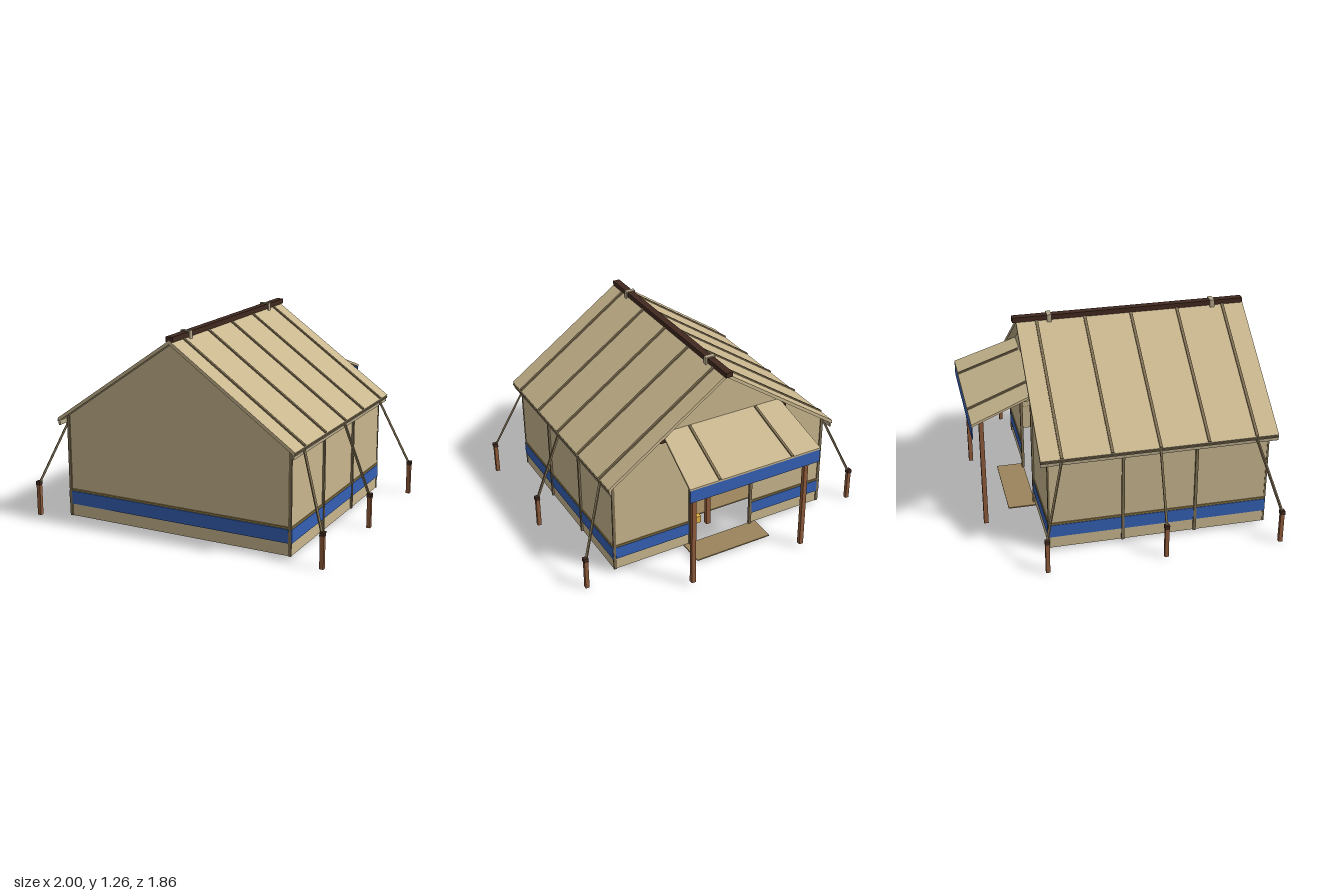
import * as THREE from 'three';

const mat = (name, color, side = THREE.FrontSide) => {
  const m = new THREE.MeshStandardMaterial({ color, side });
  m.name = name;
  return m;
};

export function createModel() {
  const root = new THREE.Group();
  root.name = 'wallTent';

  const canvas = mat('canvas', 0xc8b68e, THREE.DoubleSide);
  const seam = mat('seamTape', 0x7f6f52);
  const piping = mat('piping', 0x8c7744);
  const blue = mat('blueBand', 0x3560b4);
  const dark = mat('darkWood', 0x40291f);
  const wood = mat('wood', 0x8f5b3a);
  const mat_ = mat('groundSheet', 0x9c845c);
  const clip = mat('clip', 0xb5a78a);
  const gold = mat('lanternGold', 0xe0b040);

  const add = (name, geo, material, x = 0, y = 0, z = 0) => {
    const m = new THREE.Mesh(geo, material);
    m.name = name;
    m.position.set(x, y, z);
    root.add(m);
    return m;
  };
  // Box given by its min and max corners
  const box = (name, material, x0, x1, y0, y1, z0, z1) =>
    add(name, new THREE.BoxGeometry(x1 - x0, y1 - y0, z1 - z0), material,
      (x0 + x1) / 2, (y0 + y1) / 2, (z0 + z1) / 2);
  // Straight bar between two points
  const bar = (name, material, a, b, w, h = w) => {
    const p = new THREE.Vector3(...a), q = new THREE.Vector3(...b);
    const m = add(name, new THREE.BoxGeometry(w, h, p.distanceTo(q)), material);
    m.position.copy(p).add(q).multiplyScalar(0.5);
    m.lookAt(q);
    return m;
  };

  const W = 0.77, ZF = 0.87, ZB = -0.52, Y0 = 0.02, EAVE = 0.675, TOP = 1.212;
  const DOOR = 0.225, DOOR_TOP = 0.79;

  // Gable walls, the back one notched for the doorway
  const gable = (door) => {
    const s = new THREE.Shape();
    s.moveTo(-W, Y0);
    if (door) {
      s.lineTo(-DOOR, Y0);
      s.lineTo(-DOOR, DOOR_TOP);
      s.lineTo(DOOR, DOOR_TOP);
      s.lineTo(DOOR, Y0);
    }
    s.lineTo(W, Y0);
    s.lineTo(W, EAVE);
    s.lineTo(0, TOP);
    s.lineTo(-W, EAVE);
    return new THREE.ShapeGeometry(s);
  };
  add('frontWall', gable(false), canvas, 0, 0, ZF);
  add('backWall', gable(true), canvas, 0, 0, ZB).rotation.y = Math.PI;

  // Roof: folded sheet over the ridge
  const r = new THREE.Shape();
  [[0, 1.235], [-0.813, 0.668], [-0.803, 0.65], [0, 1.211], [0.803, 0.65], [0.813, 0.668]]
    .forEach(([x, y], i) => (i ? r.lineTo(x, y) : r.moveTo(x, y)));
  add('roof', new THREE.ExtrudeGeometry(r, { depth: 1.49, bevelEnabled: false }), canvas, 0, 0, -0.57);

  // Ridge beam, its clips and the poles carrying it
  box('ridgeBeam', dark, -0.023, 0.023, 1.224, 1.256, -0.595, 0.915);
  for (const z of [0.71, -0.36]) {
    box('ridgeClip', clip, -0.033, 0.033, 1.212, 1.262, z - 0.015, z + 0.015);
    box('ridgePole', wood, -0.015, 0.015, 0, 1.21, z - 0.015, z + 0.015);
  }

  for (const s of [-1, 1]) {
    const side = (name, material, xIn, xOut, y0, y1, z0, z1) =>
      box(name, material, Math.min(s * xIn, s * xOut), Math.max(s * xIn, s * xOut), y0, y1, z0, z1);

    // Side wall
    add('sideWall', new THREE.PlaneGeometry(ZF - ZB, EAVE - Y0), canvas, s * W, (EAVE + Y0) / 2, (ZF + ZB) / 2)
      .rotation.y = s * Math.PI / 2;
    for (const z of [0.41, -0.055]) side('wallSeam', seam, W, W + 0.012, Y0, 0.65, z - 0.009, z + 0.009);

    // Corner strips
    for (const z of [ZF, ZB])
      side('cornerStrip', seam, W - 0.016, W + 0.003, Y0, 0.68, z - 0.006, z + 0.006);

    // Eave hem
    side('eaveHem', clip, 0.793, 0.805, 0.625, 0.655, -0.57, 0.92);
    side('eaveCord', seam, 0.803, 0.813, 0.648, 0.657, -0.57, 0.92);

    // Roof seams
    for (const z of [0.78, 0.475, 0.17, -0.13, -0.44])
      bar('roofSeam', seam, [0, 1.237, z], [s * 0.811, 0.672, z], 0.018, 0.014);

    // Blue band and piping along the side
    side('sideBand', blue, W, W + 0.007, 0.1, 0.185, ZB - 0.004, ZF + 0.004);
    side('sidePiping', piping, W, W + 0.006, 0.187, 0.2, ZB, ZF);

    // Band on the back, either side of the doorway
    side('backBand', blue, DOOR + 0.01, 0.757, 0.1, 0.185, ZB - 0.007, ZB);
    side('backPiping', piping, DOOR + 0.01, 0.757, 0.187, 0.2, ZB - 0.006, ZB);
    side('doorFrame', seam, DOOR - 0.008, DOOR + 0.01, Y0, DOOR_TOP, ZB - 0.012, ZB + 0.006);

    // Stakes and guy ropes
    for (const [zs, zr] of [[0.91, 0.78], [0.17, 0.17], [-0.57, -0.44]]) {
      side('stake', wood, 0.972, 0.997, 0, 0.205, zs - 0.0125, zs + 0.0125);
      side('stakeCap', dark, 0.97, 1, 0.2, 0.226, zs - 0.015, zs + 0.015);
      bar('guyRope', seam, [s * 0.98, 0.215, zs], [s * 0.805, 0.655, zr], 0.013);
    }

    // Awning posts and seams
    side('awningPost', wood, 0.386, 0.414, 0.02, 0.77, -0.879, -0.851);
    bar('awningSeam', seam, [s * 0.235, 0.921, -0.53], [s * 0.255, 0.772, -0.93], 0.016, 0.012);

    // Ties around the rolled door flap
    side('flapTie', seam, 0.14, 0.16, 0.78, 0.842, -0.591, -0.53);
  }

  // Band and piping on the front
  box('frontBand', blue, -0.755, 0.755, 0.1, 0.185, ZF, ZF + 0.007);
  box('frontPiping', piping, -0.755, 0.755, 0.187, 0.2, ZF, ZF + 0.006);

  // Door lintel and rolled door flap
  box('doorLintel', seam, -DOOR, DOOR, DOOR_TOP - 0.02, DOOR_TOP, ZB - 0.012, ZB + 0.006);
  add('rolledFlap', new THREE.CylinderGeometry(0.028, 0.028, 0.52, 12), canvas, 0, 0.811, -0.56)
    .rotation.z = Math.PI / 2;

  // Awning: a slab widened and dropped toward its outer edge
  const awning = new THREE.BoxGeometry(1, 0.016, 0.41);
  const p = awning.attributes.position;
  for (let i = 0; i < p.count; i++) {
    const t = (0.205 - p.getZ(i)) / 0.41;
    p.setX(i, p.getX(i) * (0.84 + 0.08 * t));
    p.setY(i, p.getY(i) + 0.913 - 0.152 * t);
  }
  awning.computeVertexNormals();
  add('awning', awning, canvas, 0, 0, -0.725);
  box('awningRail', dark, -0.45, 0.45, 0.87, 0.9, -0.555, -0.527);
  box('awningValance', blue, -0.458, 0.458, 0.67, 0.757, -0.93, -0.923);

  // Ground sheet, door mat and lantern
  box('groundSheet', mat_, -0.5, 0.5, 0.015, 0.023, -0.275, 0.625);
  box('doorMat', mat_, -0.27, 0.27, 0.014, 0.022, -0.7, -0.52);
  box('lantern', gold, 0.055, 0.095, 0.03, 0.08, -0.37, -0.33);

  return root;
}
